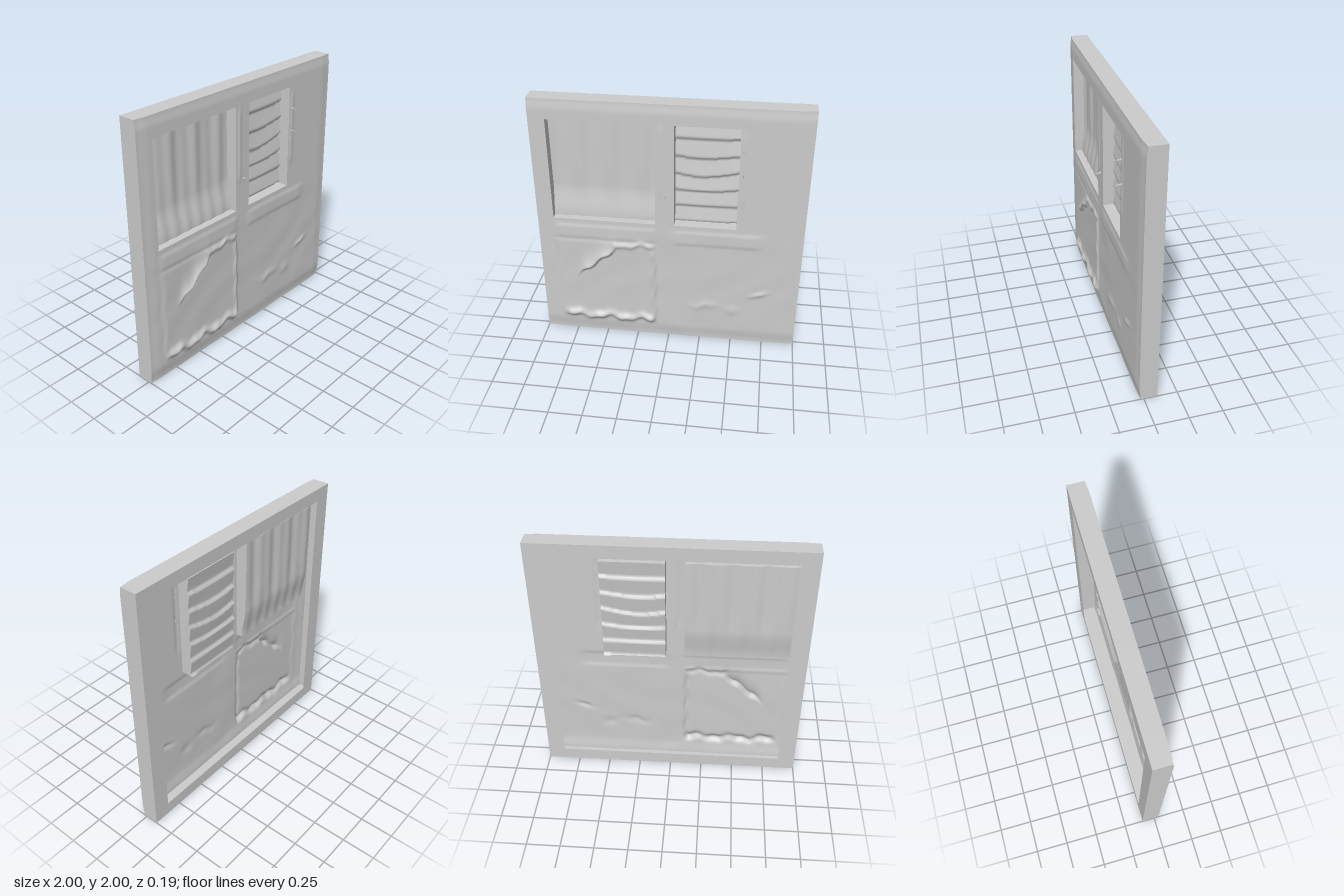
import * as THREE from 'three';

const material = new THREE.MeshStandardMaterial({ color: 0xcccccc, side: THREE.DoubleSide });

const BACK = -0.1, FACE = 0.043, PANE = -0.042;
const windows = [
  { name: 'wideWindow', x0: -0.875, x1: -0.1, y0: 1.05, y1: 1.85 },
  { name: 'narrowWindow', x0: 0.04, x1: 0.5, y0: 1.05, y1: 1.85 },
];

// Helpers
const step = (a, b, t) => THREE.MathUtils.smoothstep(t, a, b);
const bump = (t, centre, width) => Math.exp(-(((t - centre) / width) ** 2));
const within = (t, a, b, soft) => step(a - soft, a + soft, t) * (1 - step(b - soft, b + soft, t));

// Small smooth unevenness
function ripple(x, y) {
  return Math.sin(x * 9 + 2 * Math.sin(y * 6)) * Math.sin(y * 11 + 1.7 * Math.sin(x * 5));
}

// Grid lines passing exactly through the given breaks
function gridLines(breaks, size) {
  const out = [breaks[0]];
  for (let i = 1; i < breaks.length; i++) {
    const a = breaks[i - 1], b = breaks[i], n = Math.ceil((b - a) / size);
    for (let k = 1; k <= n; k++) out.push(a + ((b - a) * k) / n);
  }
  return out;
}

// Surface from rows of points; point(u, v) gives [x, y, z]
function surface(us, vs, point, skip = () => false) {
  const positions = [], index = [], w = us.length;
  for (const v of vs) for (const u of us) positions.push(...point(u, v));
  for (let j = 0; j < vs.length - 1; j++) {
    for (let i = 0; i < w - 1; i++) {
      if (skip((us[i] + us[i + 1]) / 2, (vs[j] + vs[j + 1]) / 2)) continue;
      const a = j * w + i, b = a + 1, c = a + w, d = c + 1;
      index.push(a, b, d, a, d, c);
    }
  }
  const geometry = new THREE.BufferGeometry();
  geometry.setAttribute('position', new THREE.Float32BufferAttribute(positions, 3));
  geometry.setIndex(index);
  geometry.computeVertexNormals();
  return geometry;
}

function add(parent, name, geometry) {
  const mesh = new THREE.Mesh(geometry, material);
  mesh.name = name;
  parent.add(mesh);
  return mesh;
}

// Relief of the front sheet
function faceHeight(x, y) {
  let z = FACE;
  // softly rounded outer border
  z -= 0.008 * step(0.9, 1, Math.abs(x)) + 0.012 * (1 - step(0, 0.12, y)) + 0.008 * step(1.92, 2, y);
  const inner = 1 - step(0.9, 1, Math.abs(x));
  z += 0.002 * ripple(x, y) * inner * (1 - step(0.9, 1.1, y));
  // sill bands below the windows
  z += 0.006 * within(y, 0.89, 1.0, 0.015) * (within(x, -0.86, -0.1, 0.03) + within(x, 0.04, 0.68, 0.05));
  // raised lower panel with a lumpy lip and a diagonal ledge
  const wobble = 0.015 * Math.sin(x * 23) + 0.008 * Math.sin(x * 51);
  const panel = within(x, -0.86 + 0.01 * Math.sin(y * 20), -0.11, 0.02) * within(y, 0.14 + wobble, 0.87, 0.02);
  z += 0.006 * panel;
  z += 0.03 * bump(y, 0.165 + wobble, 0.03) * within(x, -0.83, -0.12, 0.03) * (0.75 + 0.25 * Math.sin(x * 31));
  const ledge = 0.68 + (x + 0.57) * 0.85 + 0.012 * Math.sin(x * 45);
  const below = ledge - y;
  z += 0.036 * step(-0.03, 0.008, -below) * Math.exp(-Math.max(0, -below) / 0.05) * within(x, -0.68, -0.42, 0.05);
  z += 0.012 * bump(y, 0.85 + wobble, 0.02) * within(x, -0.42, -0.12, 0.04);
  z += 0.012 * bump(x, -0.115 + 0.006 * Math.sin(y * 30), 0.014) * within(y, 0.15, 0.8, 0.04);
  // scattered lumps on the other lower panel
  z += 0.012 * bump(x, 0.7, 0.06) * bump(y, 0.47 + 0.3 * (x - 0.7), 0.02);
  z += 0.008 * bump(x, 0.28, 0.1) * bump(y, 0.33 + wobble, 0.03);
  z += 0.008 * bump(x, 0.5, 0.05) * bump(y, 0.3, 0.04);
  // frayed trim beside the window jambs
  z += 0.006 * bump(x, 0.535, 0.015) * within(y, 1.25, 1.8, 0.05);
  z += 0.006 * bump(x, -0.06, 0.012) * within(y, 1.3, 1.82, 0.05);
  return z;
}

// Hanging folds, coming forward at the foot
function foldHeight(x, y) {
  return PANE + 0.006 * Math.sin(x * 26 + 0.4 * Math.sin(y * 5)) * step(1.1, 1.5, y)
    + 0.003 * Math.sin(x * 55) + 0.03 * (1 - step(1.05, 1.3, y));
}

// Irregular horizontal slats
function slatHeight(x, y) {
  const t = (y - 1.05) / 0.135 + 0.25 * Math.sin(x * 7) * bump(y, 1.45, 0.2);
  return PANE + 0.02 * (0.5 - (t - Math.floor(t))) * step(0, 0.12, t - Math.floor(t));
}

function addWindow(parent, { name, x0, x1, y0, y1 }, height) {
  const group = new THREE.Group();
  group.name = name;
  parent.add(group);
  const xs = gridLines([x0, x1], 0.0125), ys = gridLines([y0, y1], 0.0125);
  add(group, 'pane', surface(xs, ys, (x, y) => [x, y, height(x, y)]));
  // recess walls from the front sheet to the pane
  const wall = (x, y, t) => [x, y, THREE.MathUtils.lerp(height(x, y), faceHeight(x, y), t)];
  for (const x of [x0, x1]) add(group, 'jamb', surface([0, 1], ys, (t, y) => wall(x, y, t)));
  for (const y of [y0, y1]) add(group, y === y0 ? 'sill' : 'lintel', surface(xs, [0, 1], (x, t) => wall(x, y, t)));
}

// Frame side and back rim, one strip per edge, mitred at the corners
function addFrame(parent) {
  const inX = 0.87, inY = 0.9;
  const ts = gridLines([-1, 1], 0.02);
  for (const s of [-1, 1]) {
    add(parent, 'frameSide', surface(ts, [0, 1], (t, v) =>
      [s, 1 + t, v ? BACK : faceHeight(s, 1 + t)]));
    add(parent, 'frameSide', surface(ts, [0, 1], (t, v) =>
      [t, 1 + s, v ? BACK : faceHeight(t, 1 + s)]));
    add(parent, 'backRim', surface([-1, 1], [0, 1], (t, v) =>
      [s * (v ? inX : 1), 1 + t * (v ? inY : 1), BACK]));
    add(parent, 'backRim', surface([-1, 1], [0, 1], (t, v) =>
      [t * (v ? inX : 1), 1 + s * (v ? inY : 1), BACK]));
  }
}

export function createModel() {
  const model = new THREE.Group();
  model.name = 'wallPanel';

  // Front sheet with two window openings
  const xs = gridLines([-1, -0.875, -0.1, 0.04, 0.5, 1], 0.0125);
  const ys = gridLines([0, 1.05, 1.85, 2], 0.0125);
  const inWindow = (x, y) => windows.some((w) => x > w.x0 && x < w.x1 && y > w.y0 && y < w.y1);
  add(model, 'frontSheet', surface(xs, ys, (x, y) => [x, y, faceHeight(x, y)], inWindow));

  addWindow(model, windows[0], foldHeight);
  addWindow(model, windows[1], slatHeight);
  addFrame(model);

  // Small splinters on the trim
  for (const [x, y] of [[-0.02, 1.29], [0.535, 1.5], [0.53, 1.68]]) {
    const splinter = add(model, 'splinter', new THREE.ConeGeometry(0.012, 0.05, 4));
    splinter.rotation.x = Math.PI / 2;
    splinter.position.set(x, y, 0.065);
  }
  return model;
}
